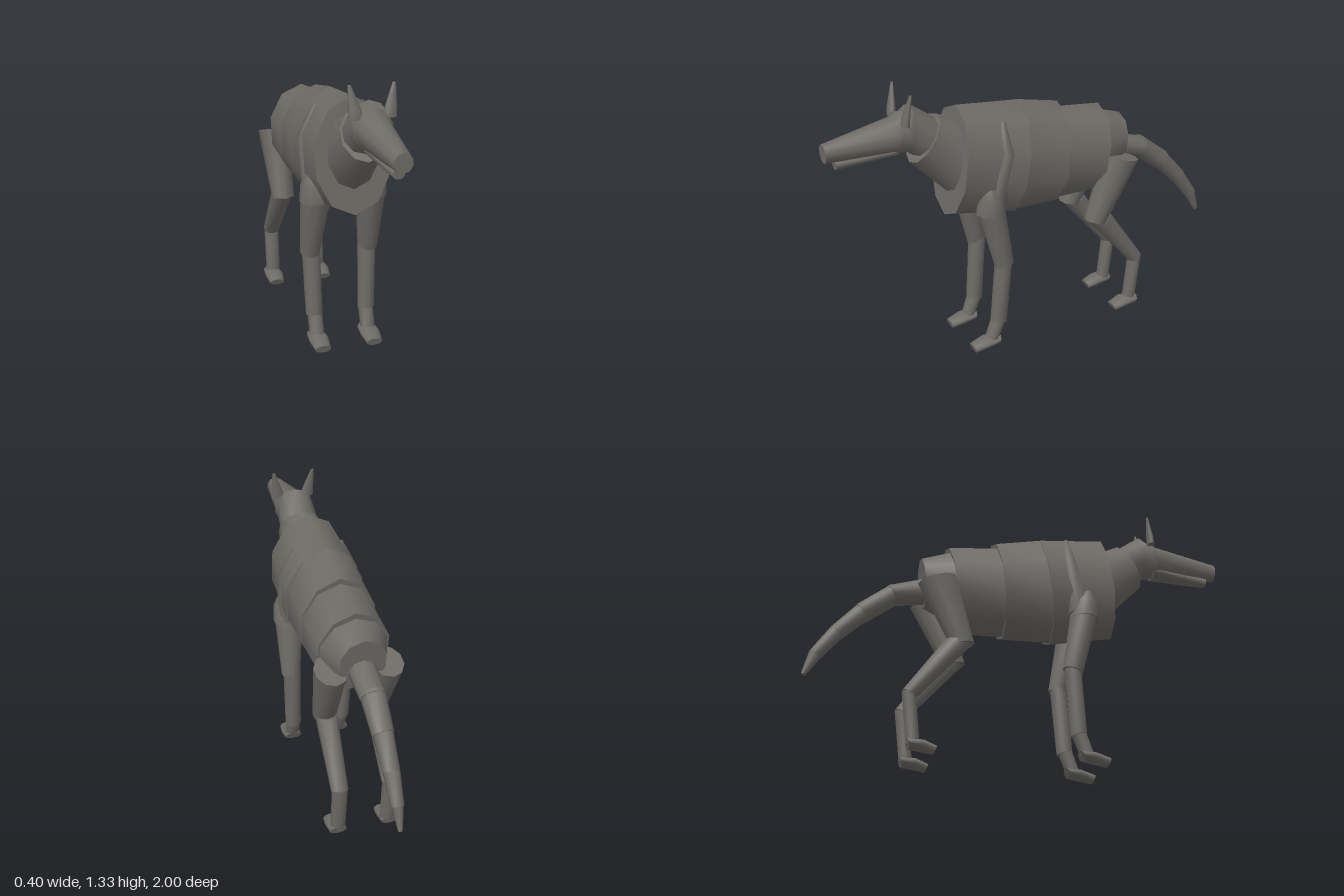
import * as THREE from 'three';

const SIDES = 10;
const fur = new THREE.MeshStandardMaterial({ color: 0x6e6b66 });
fur.name = 'grey fur';

// Capped tube through elliptical rings. Each ring is
// [z1, y1, z2, y2, half width, x]: two opposite points in the side plane.
function segment(name, rings, side = 1) {
  const pos = [], idx = [];
  const c = rings.map(([z1, y1, z2, y2]) => [(y1 + y2) / 2, (z1 + z2) / 2]);
  const n = rings.length;
  const dy = c[n - 1][0] - c[0][0], dz = c[n - 1][1] - c[0][1];
  const loops = rings.map(([z1, y1, z2, y2, w, x = 0], i) => {
    let uy = (y1 - y2) / 2, uz = (z1 - z2) / 2;
    // keep the winding outward whichever way the tube runs
    if (-uz * dy + uy * dz > 0) { uy = -uy; uz = -uz; }
    const loop = [];
    for (let j = 0; j < SIDES; j++) {
      const a = Math.PI / 2 + (j / SIDES) * Math.PI * 2;
      loop.push([
        x * side + (w / Math.cos(Math.PI / SIDES)) * Math.cos(a),
        c[i][0] + uy * Math.sin(a),
        c[i][1] + uz * Math.sin(a),
      ]);
    }
    return loop;
  });
  loops.forEach((l) => l.forEach((p) => pos.push(...p)));
  for (let i = 0; i < n - 1; i++) {
    for (let j = 0; j < SIDES; j++) {
      const k = (j + 1) % SIDES;
      const a = i * SIDES + j, b = a + SIDES, d = i * SIDES + k, e = d + SIDES;
      idx.push(a, b, d, b, e, d);
    }
  }
  // flat end caps with their own vertices
  [[loops[0], false], [loops[n - 1], true]].forEach(([loop, end]) => {
    const s = pos.length / 3;
    loop.forEach((p) => pos.push(...p));
    for (let j = 1; j < SIDES - 1; j++) {
      if (end) idx.push(s, s + j + 1, s + j);
      else idx.push(s, s + j, s + j + 1);
    }
  });
  const geo = new THREE.BufferGeometry();
  geo.setAttribute('position', new THREE.Float32BufferAttribute(pos, 3));
  geo.setIndex(idx);
  geo.computeVertexNormals();
  const mesh = new THREE.Mesh(geo, fur);
  mesh.name = name;
  return mesh;
}

function addParts(name, parts, side) {
  const g = new THREE.Group();
  g.name = name;
  for (const [part, ...rings] of parts) g.add(segment(part, rings, side));
  return g;
}

// Overlapping trunk sections, chest to rump
const torso = [
  ['chest', [0.374, 1.214, 0.446, 0.695, 0.172], [0.064, 1.18, 0.144, 0.635, 0.182]],
  ['ribcage', [0.074, 1.183, 0.15, 0.642, 0.176], [-0.144, 1.134, -0.085, 0.64, 0.172]],
  ['belly', [-0.135, 1.108, -0.08, 0.655, 0.17], [-0.37, 1.08, -0.3, 0.652, 0.163]],
  ['rump', [-0.36, 1.053, -0.31, 0.69, 0.155], [-0.49, 1.01, -0.458, 0.77, 0.105]],
];

const neckAndHead = [
  ['lowerNeck', [0.36, 1.14, 0.42, 0.8, 0.118], [0.465, 1.19, 0.606, 0.99, 0.098]],
  ['upperNeck', [0.468, 1.17, 0.58, 1.015, 0.09], [0.588, 1.257, 0.675, 1.09, 0.082]],
  ['head', [0.6, 1.235, 0.59, 1.04, 0.082], [0.65, 1.235, 0.674, 1.05, 0.086],
    [0.68, 1.215, 0.69, 1.06, 0.076], [0.995, 1.155, 0.995, 1.07, 0.04]],
  ['lowerJaw', [0.66, 1.1, 0.67, 1.045, 0.05], [0.95, 1.075, 0.947, 1.03, 0.025]],
];

const tail = [
  ['tailBase', [-0.45, 0.915, -0.46, 0.785, 0.062], [-0.64, 0.853, -0.595, 0.765, 0.057]],
  ['tailSecond', [-0.625, 0.862, -0.58, 0.772, 0.055], [-0.78, 0.743, -0.72, 0.663, 0.046]],
  ['tailThird', [-0.77, 0.748, -0.715, 0.675, 0.043], [-0.89, 0.615, -0.83, 0.565, 0.036]],
  ['tailFourth', [-0.885, 0.62, -0.825, 0.575, 0.036], [-0.973, 0.49, -0.92, 0.458, 0.027]],
  ['tailTip', [-0.97, 0.495, -0.916, 0.465, 0.024], [-1.0, 0.38, -0.98, 0.37, 0.01]],
];

const ear = [
  ['ear', [0.665, 1.195, 0.63, 1.195, 0.03, 0.073], [0.66, 1.235, 0.628, 1.235, 0.026, 0.078],
    [0.632, 1.335, 0.622, 1.335, 0.007, 0.097]],
];

const frontLeg = [
  ['shoulderBlade', [0.215, 1.145, 0.185, 1.14, 0.025, 0.095], [0.25, 1.0, 0.16, 1.0, 0.062, 0.13],
    [0.33, 0.76, 0.2, 0.74, 0.055, 0.125]],
  ['shoulder', [0.32, 0.85, 0.26, 0.855, 0.045, 0.13], [0.342, 0.8, 0.222, 0.8, 0.067, 0.13],
    [0.345, 0.72, 0.208, 0.715, 0.07, 0.13]],
  ['upperLeg', [0.342, 0.745, 0.212, 0.74, 0.066, 0.13], [0.262, 0.435, 0.17, 0.457, 0.043, 0.14]],
  ['forearm', [0.257, 0.46, 0.176, 0.462, 0.04, 0.135], [0.28, 0.152, 0.203, 0.132, 0.037, 0.127]],
  ['wrist', [0.276, 0.155, 0.21, 0.135, 0.033, 0.125], [0.31, 0.055, 0.25, 0.04, 0.033, 0.125]],
  ['frontPaw', [0.24, 0.068, 0.262, 0.022, 0.04, 0.125], [0.31, 0.065, 0.31, 0.014, 0.045, 0.125],
    [0.382, 0.043, 0.372, 0.004, 0.036, 0.125]],
];

const hindLeg = [
  ['thigh', [-0.33, 0.872, -0.51, 0.82, 0.07, 0.13], [-0.24, 0.545, -0.345, 0.52, 0.052, 0.12]],
  ['shin', [-0.255, 0.535, -0.375, 0.555, 0.048, 0.12], [-0.497, 0.257, -0.56, 0.29, 0.038, 0.12]],
  ['hock', [-0.497, 0.27, -0.562, 0.285, 0.035, 0.12], [-0.474, 0.055, -0.533, 0.04, 0.033, 0.12]],
  ['hindPaw', [-0.535, 0.065, -0.52, 0.018, 0.038, 0.125], [-0.46, 0.062, -0.46, 0.012, 0.044, 0.125],
    [-0.398, 0.038, -0.412, 0.004, 0.036, 0.125]],
];

export function createModel() {
  const model = new THREE.Group();
  model.name = 'wolf';
  model.add(addParts('torso', torso), addParts('neckAndHead', neckAndHead), addParts('tail', tail));
  // paired parts, mirrored across the body
  for (const [side, label] of [[1, 'left'], [-1, 'right']]) {
    model.add(
      addParts(label + 'Ear', ear, side),
      addParts(label + 'FrontLeg', frontLeg, side),
      addParts(label + 'HindLeg', hindLeg, side),
    );
  }
  return model;
}
